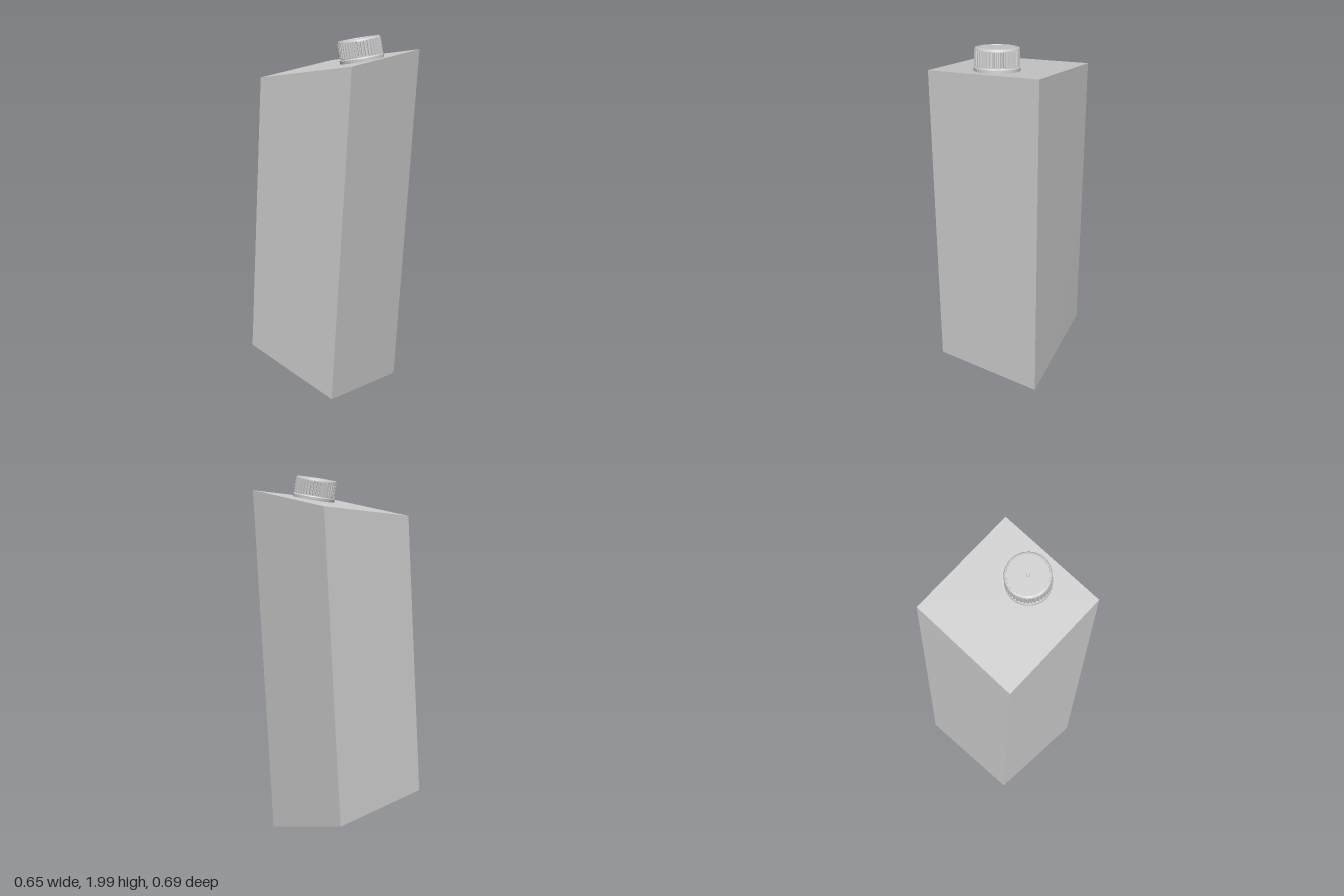
import * as THREE from 'three';
import { toCreasedNormals } from 'three/addons/utils/BufferGeometryUtils.js';

const grey = new THREE.MeshStandardMaterial({ color: 0xcccccc });
grey.name = 'lightGrey';

// Leaning carton: a box whose eight corners are moved to a skewed shape
function createCarton() {
  const corners = {
    top: { left: [[-0.284, 1.77, -0.26], [-0.285, 1.865, 0.344]], right: [[0.325, 1.815, -0.262], [0.321, 1.909, 0.341]] },
    bottom: { left: [[-0.318, 0.23, -0.338], [-0.327, 0.074, 0.252]], right: [[0.287, 0.16, -0.345], [0.279, 0, 0.245]] },
  };
  const geometry = new THREE.BoxGeometry(1, 1, 1);
  const p = geometry.attributes.position;
  for (let i = 0; i < p.count; i++) {
    const level = corners[p.getY(i) > 0 ? 'top' : 'bottom'];
    const side = level[p.getX(i) > 0 ? 'right' : 'left'];
    p.setXYZ(i, ...side[p.getZ(i) > 0 ? 1 : 0]);
  }
  geometry.computeVertexNormals();
  const mesh = new THREE.Mesh(geometry, grey);
  mesh.name = 'cartonBody';
  return mesh;
}

// Turned part from [radius, height] points, with sharp edges kept
function turned(name, points, segments = 64) {
  const lathe = new THREE.LatheGeometry(points.map(([r, y]) => new THREE.Vector2(r, y)), segments);
  const mesh = new THREE.Mesh(toCreasedNormals(lathe, 0.5), grey);
  mesh.name = name;
  return mesh;
}

// Toothed band around the cap
function createGripBand(count, inner, outer, height) {
  const shape = new THREE.Shape();
  const step = (Math.PI * 2) / count;
  for (let i = 0; i < count; i++) {
    [[0, inner], [0.3, inner], [0.45, outer], [0.85, outer]].forEach(([t, r], k) => {
      const a = (i + t) * step;
      shape[i + k === 0 ? 'moveTo' : 'lineTo'](Math.cos(a) * r, Math.sin(a) * r);
    });
  }
  shape.closePath();
  const geometry = new THREE.ExtrudeGeometry(shape, { depth: height, bevelEnabled: false });
  geometry.rotateX(-Math.PI / 2);
  const mesh = new THREE.Mesh(geometry, grey);
  mesh.name = 'capGripBand';
  return mesh;
}

function createCap() {
  const cap = new THREE.Group();
  cap.name = 'screwCap';

  // Tamper ring at the base
  cap.add(turned('capRing', [[0, -0.008], [0.116, -0.008], [0.117, 0.014], [0.113, 0.02], [0, 0.02]]));

  // Ribbed grip
  const grip = createGripBand(40, 0.107, 0.114, 0.077);
  grip.position.y = 0.024;
  cap.add(grip);

  // Core with rounded rim, shallow recessed lid and a centre dimple
  cap.add(turned('capCore', [
    [0.107, 0.01], [0.107, 0.1], [0.1135, 0.101], [0.1125, 0.107], [0.109, 0.112], [0.105, 0.114],
    [0.102, 0.114], [0.101, 0.11], [0.009, 0.11], [0.006, 0.106], [0, 0.105],
  ]));
  return cap;
}

export function createModel() {
  const model = new THREE.Group();
  model.name = 'carton';
  model.add(createCarton());

  // Cap stands square to the sloping top
  const cap = createCap();
  const normal = new THREE.Vector3(-0.072, 1, -0.157).normalize();
  cap.quaternion.setFromUnitVectors(new THREE.Vector3(0, 1, 0), normal);
  cap.position.set(0.018, 1.864, 0.183);
  model.add(cap);
  return model;
}
